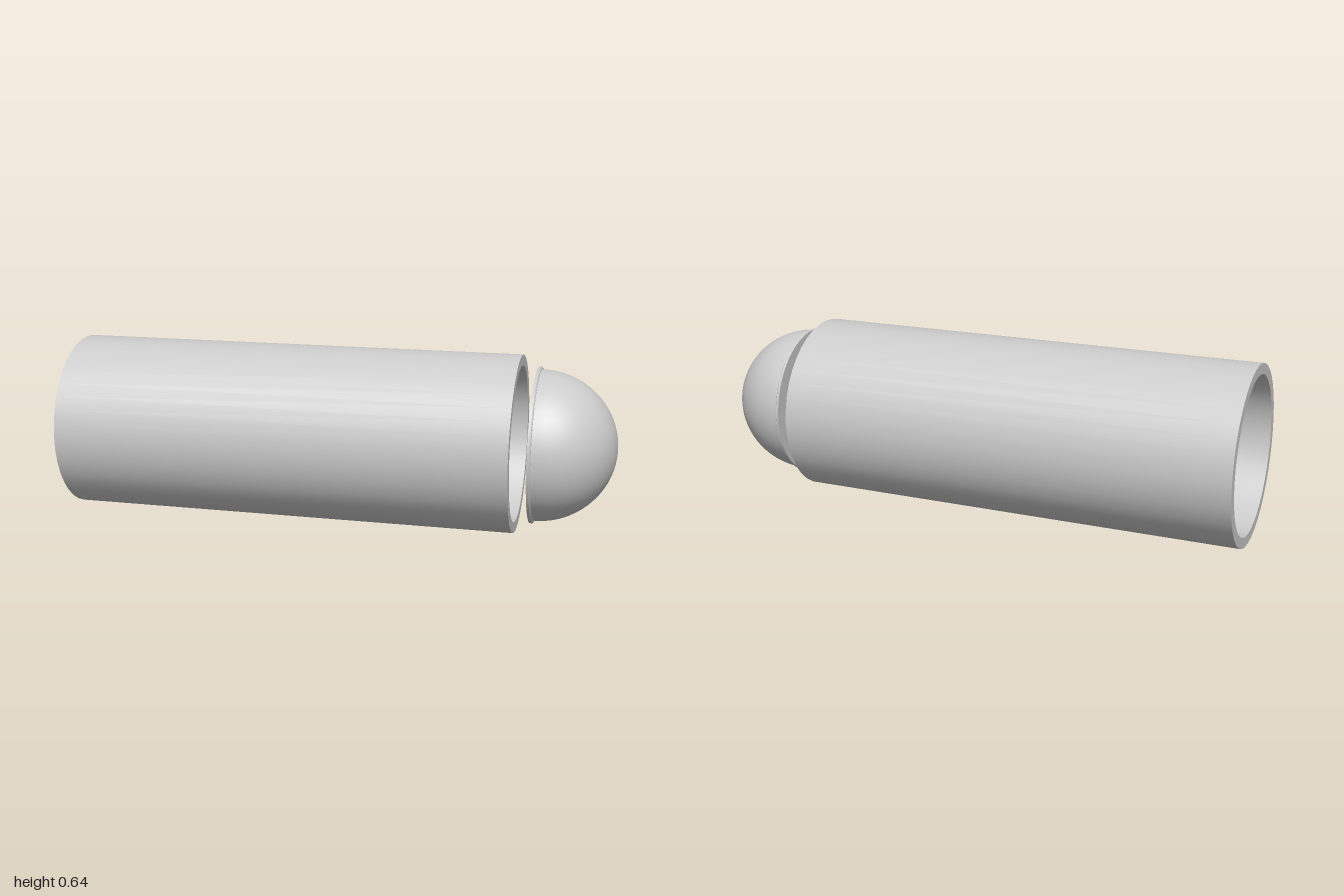
import * as THREE from 'three';
import { toCreasedNormals } from 'three/addons/utils/BufferGeometryUtils.js';

const AXIS_Y = 0.32;

// Revolves [radius, x] pairs around the long axis
function turned(name, profile, segments) {
  const points = profile.map(([r, x]) => new THREE.Vector2(r, x));
  const geometry = toCreasedNormals(new THREE.LatheGeometry(points, segments), 0.5);
  geometry.rotateZ(-Math.PI / 2);
  geometry.translate(0, AXIS_Y, 0);
  const mesh = new THREE.Mesh(geometry, new THREE.MeshStandardMaterial({ color: 0xcccccc }));
  mesh.name = name;
  return mesh;
}

export function createModel() {
  const model = new THREE.Group();
  model.name = 'domedTube';

  // Open thick-walled tube
  const outer = 0.319, inner = 0.281, back = -1, front = 0.653;
  model.add(turned('tube', [
    [inner, back], [outer, back], [outer, front], [inner, front], [inner, back],
  ], 40));

  // Thin flange behind the dome
  model.add(turned('flange', [
    [0, 0.71], [0.279, 0.71], [0.279, 0.719], [0.274, 0.723], [0.27, 0.723],
  ], 64));

  // Hemispherical cap, spaced ahead of the tube
  const radius = 0.27, start = 0.723, length = 1 - start, steps = 24;
  const dome = [];
  for (let i = 0; i <= steps; i++) {
    const a = (i / steps) * Math.PI / 2;
    dome.push([i === steps ? 0 : radius * Math.cos(a), start + length * Math.sin(a)]);
  }
  model.add(turned('dome', dome, 64));

  return model;
}
